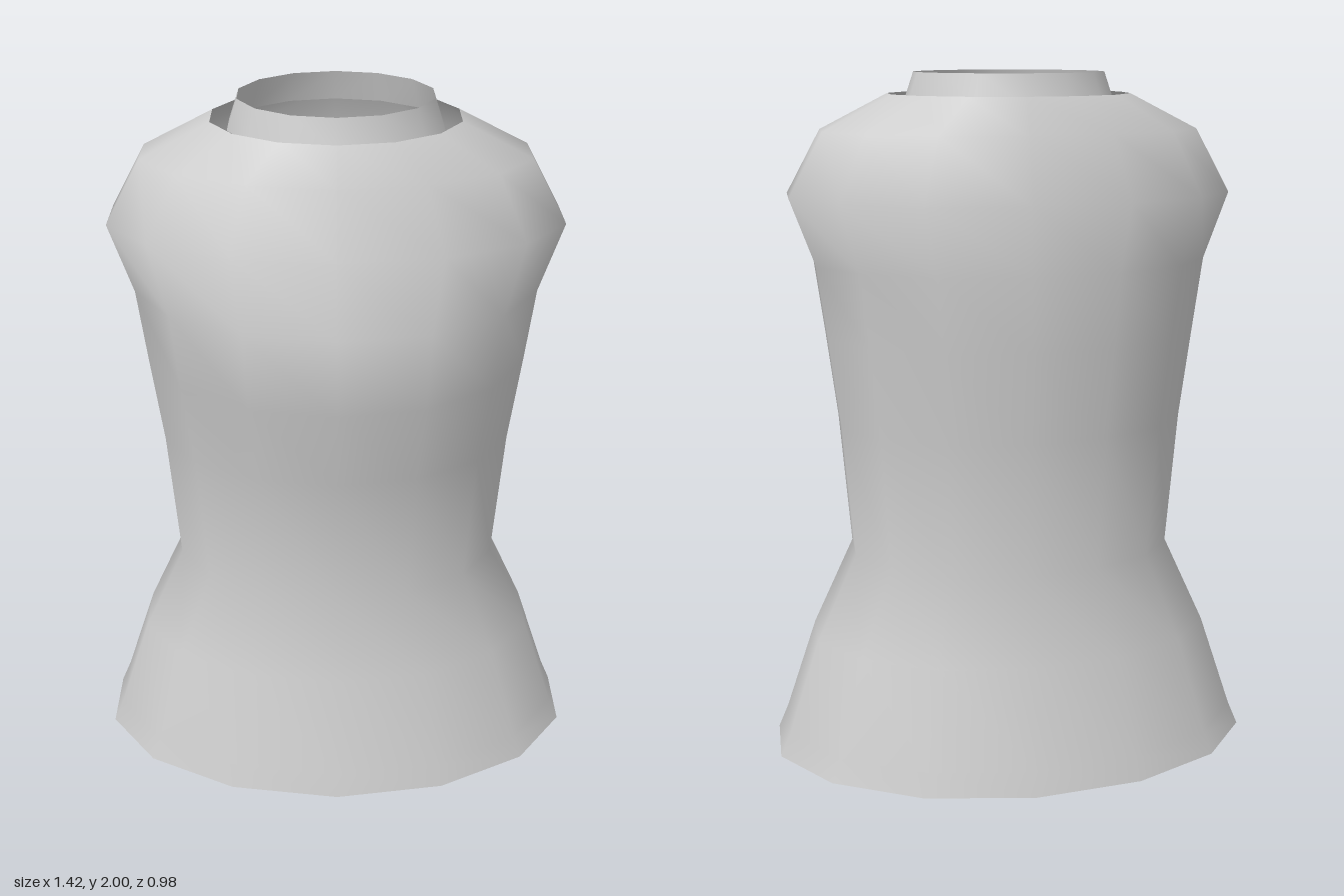
import * as THREE from 'three';

const SIDES = 14;

// Skin a stack of oval rings [y, half width, front depth, back depth], open at both ends
function ringShell(rings) {
  const positions = [];
  const index = [];
  rings.forEach(([y, a, front, back], r) => {
    for (let k = 0; k < SIDES; k++) {
      const t = (k / SIDES) * Math.PI * 2;
      const c = Math.cos(t);
      positions.push(a * Math.sin(t), y, c * (c > 0 ? front : back));
      if (r === 0) continue;
      const n = (k + 1) % SIDES;
      const low = (r - 1) * SIDES;
      const high = r * SIDES;
      index.push(low + k, low + n, high + k, low + n, high + n, high + k);
    }
  });
  const geometry = new THREE.BufferGeometry();
  geometry.setAttribute('position', new THREE.Float32BufferAttribute(positions, 3));
  geometry.setIndex(index);
  geometry.computeVertexNormals();
  return geometry;
}

export function createModel() {
  const group = new THREE.Group();
  group.name = 'torsoGarment';

  const cloth = new THREE.MeshStandardMaterial({ color: 0xcccccc, side: THREE.DoubleSide });
  cloth.name = 'light grey cloth';

  const add = (name, rings) => {
    const mesh = new THREE.Mesh(ringShell(rings), cloth);
    mesh.name = name;
    group.add(mesh);
  };

  // Flared hem, waist, chest and shoulders up to the open neckline
  add('body', [
    [0, 0.727, 0.49, 0.49],
    [0.07, 0.697, 0.474, 0.474],
    [0.35, 0.603, 0.4, 0.4],
    [0.61, 0.481, 0.35, 0.345],
    [1.0, 0.513, 0.375, 0.36],
    [1.26, 0.546, 0.475, 0.39],
    [1.47, 0.575, 0.46, 0.393],
    [1.66, 0.647, 0.395, 0.387],
    [1.84, 0.547, 0.335, 0.335],
    [1.94, 0.348, 0.285, 0.29],
  ]);

  // Short tapered collar standing free inside the neckline
  add('collar', [
    [1.915, 0.301, 0.266, 0.27],
    [2.0, 0.272, 0.243, 0.246],
  ]);

  // Inner band hanging inside the hem
  add('innerBand', [
    [0.14, 0.595, 0.4, 0.4],
    [0.31, 0.595, 0.4, 0.4],
  ]);

  return group;
}
